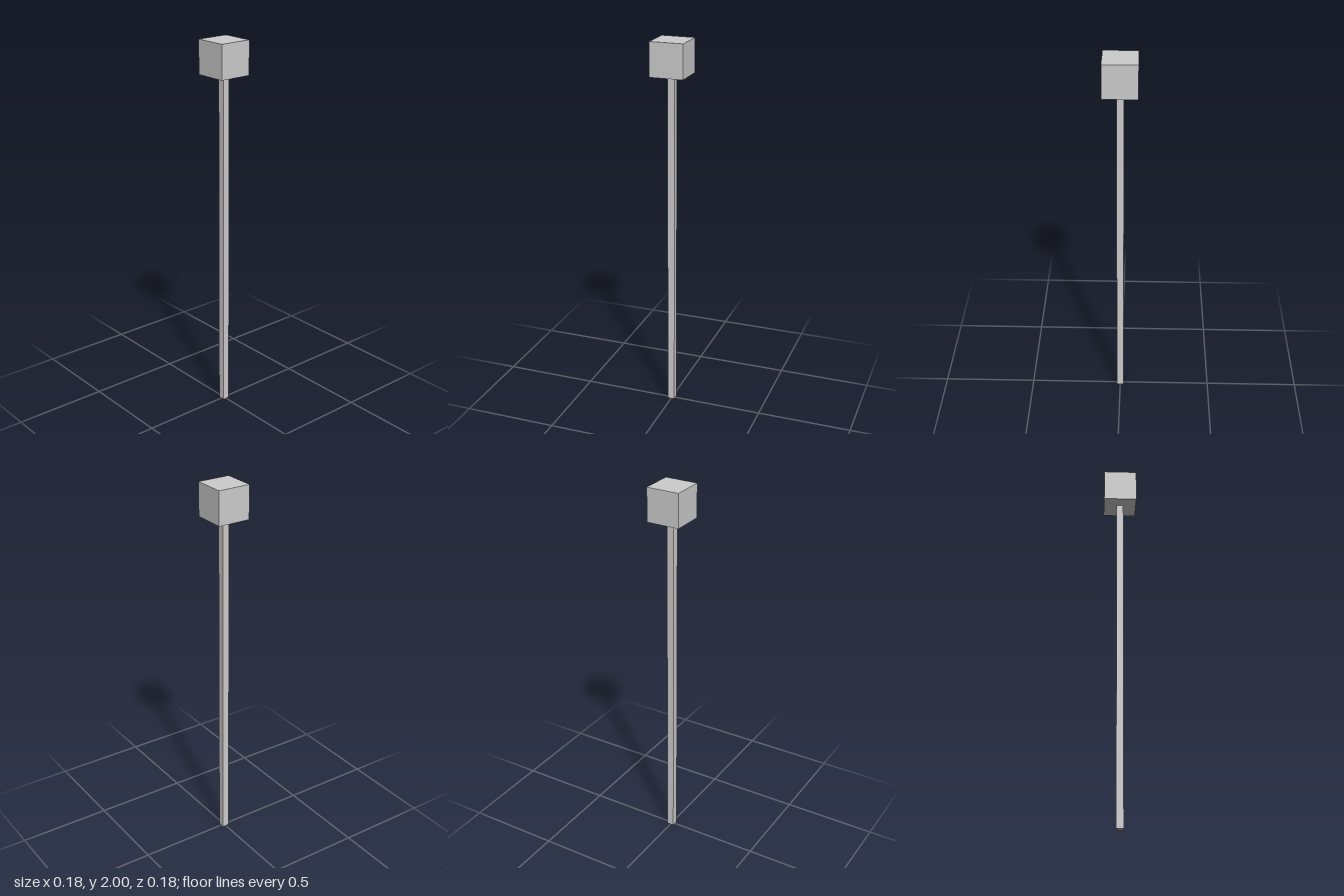
import * as THREE from 'three';

const HEIGHT = 2;
const HEAD = 0.176; // edge of the cube
const POST = 0.037; // width of the square post

export function createModel() {
  const group = new THREE.Group();
  const material = new THREE.MeshStandardMaterial({ color: 0xcccccc, flatShading: true });

  // Box of square section standing on the given height
  const addBox = (name, width, height, bottom) => {
    const mesh = new THREE.Mesh(new THREE.BoxGeometry(width, height, width), material);
    mesh.name = name;
    mesh.position.y = bottom + height / 2;
    group.add(mesh);
  };

  // Slender post with a cube on top
  addBox('post', POST, HEIGHT - HEAD, 0);
  addBox('head', HEAD, HEAD, HEIGHT - HEAD);

  return group;
}
